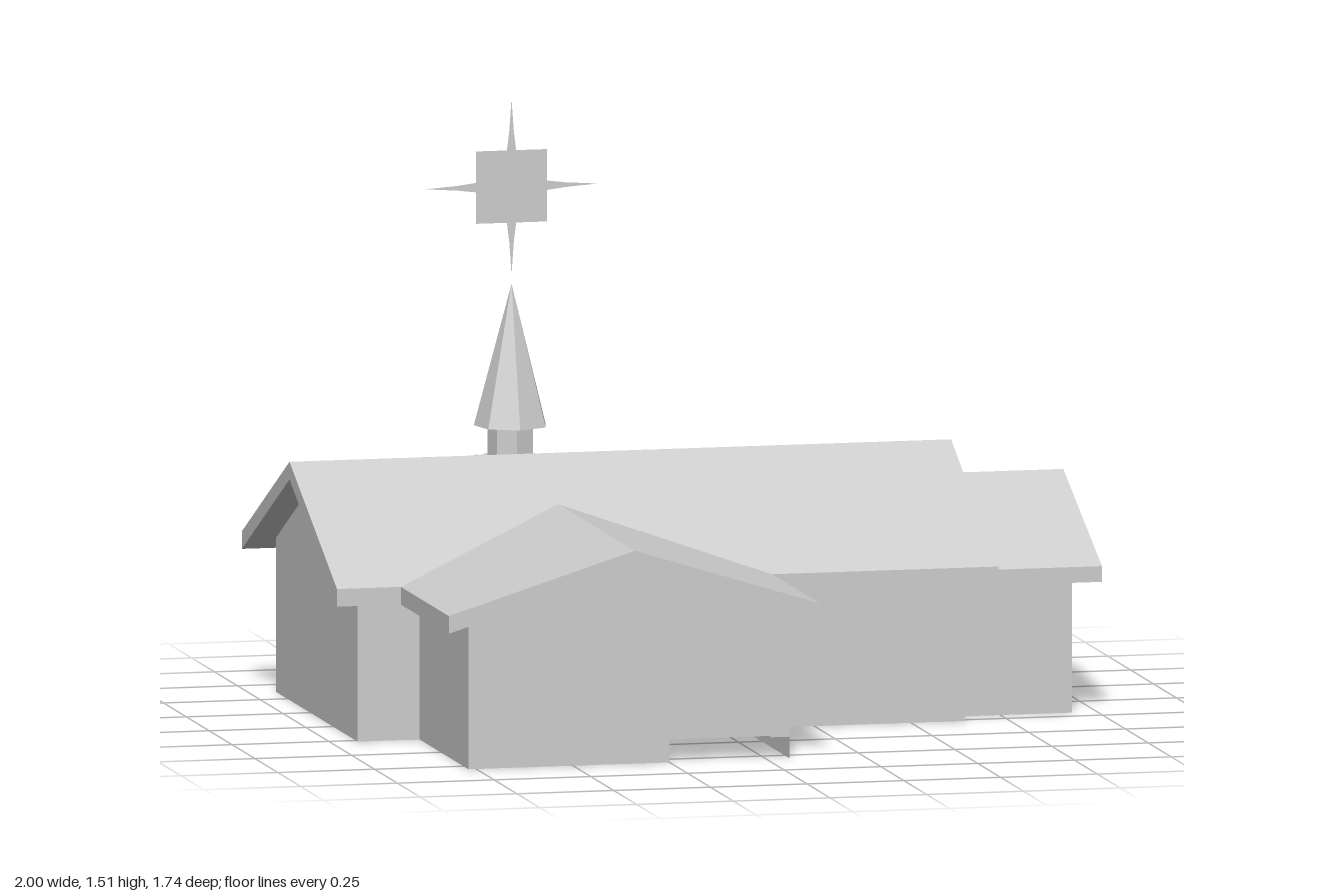
import * as THREE from 'three';

export function createModel() {
  const grey = new THREE.MeshStandardMaterial({ color: 0xcccccc, side: THREE.DoubleSide, flatShading: true });
  grey.name = 'plain grey';
  const model = new THREE.Group();
  model.name = 'chapel';

  const add = (parent, name, geo, x = 0, y = 0, z = 0) => {
    const m = new THREE.Mesh(geo, grey);
    m.name = name;
    m.position.set(x, y, z);
    parent.add(m);
    return m;
  };
  const polygon = (pts) => new THREE.Shape(pts.map(([x, y]) => new THREE.Vector2(x, y)));
  const group = (name, turned) => {
    const g = new THREE.Group();
    g.name = name;
    if (turned) g.rotation.y = Math.PI / 2; // ridge then runs along x
    model.add(g);
    return g;
  };

  // Roof slab: a chevron with plumb-cut eaves, extruded along its ridge
  const roof = (parent, name, ridge, half, top, eave, thick, from, to) => {
    const shape = polygon([
      [ridge - half, eave - thick], [ridge, top - thick], [ridge + half, eave - thick],
      [ridge + half, eave], [ridge, top], [ridge - half, eave],
    ]);
    add(parent, name, new THREE.ExtrudeGeometry(shape, { depth: to - from, bevelEnabled: false }), 0, 0, from);
  };

  // Thin walls: two sides plus gable ends; each end may have its own foot outline
  const walls = (parent, a, b, ridge, top, slope, from, to, ends) => {
    const height = (x) => top - Math.abs(x - ridge) * slope;
    for (const x of [a, b]) {
      const side = new THREE.PlaneGeometry(to - from, height(x));
      side.rotateY(x === a ? -Math.PI / 2 : Math.PI / 2);
      add(parent, 'sideWall', side, x, height(x) / 2, (from + to) / 2);
    }
    for (const { z, foot } of ends) {
      const shape = polygon([...(foot || [[a, 0], [b, 0]]), [b, height(b)], [ridge, top], [a, height(a)]]);
      const gable = new THREE.ShapeGeometry(shape);
      add(parent, 'gableWall', gable, 0, 0, z);
    }
  };

  // Main hall, ridge along x
  const hall = group('mainHall', true);
  roof(hall, 'mainRoof', 0.18, 0.52, 0.65, 0.4, 0.045, -1, 0.71);
  walls(hall, -0.27, 0.625, 0.18, 0.605, 0.48, -0.93, 0.64, [{ z: -0.93 }, { z: 0.64 }]);
  // open the hall towards the rear wing
  const rear = hall.children.find((m) => m.name === 'sideWall' && m.position.x > 0.6);
  hall.remove(rear);
  for (const [from, to] of [[-0.93, -0.77], [0.06, 0.64]]) {
    const piece = new THREE.PlaneGeometry(to - from, 0.39);
    piece.rotateY(Math.PI / 2);
    add(hall, 'rearWall', piece, 0.625, 0.195, (from + to) / 2);
  }

  // Lower end wing
  const endWing = group('endWing', true);
  roof(endWing, 'endRoof', 0.18, 0.425, 0.565, 0.378, 0.04, 0.64, 1);
  walls(endWing, -0.19, 0.54, 0.18, 0.525, 0.44, 0.64, 0.935, [{ z: 0.935 }]);

  // Cross wings, ridge along z, with the doorway cut in the front gable
  const cross = group('crossWings', false);
  roof(cross, 'crossRoof', -0.355, 0.48, 0.55, 0.4, 0.045, -0.87, 0.865);
  const doorway = [[-0.77, 0], [-0.25, 0], [-0.25, 0.28], [0.01, 0.28], [0.01, 0.055], [0.06, 0.055]];
  walls(cross, -0.77, 0.06, -0.355, 0.505, 0.3125, 0.27, 0.805, [{ z: 0.805, foot: doorway }]);
  walls(cross, -0.77, 0.06, -0.355, 0.505, 0.3125, -0.8, -0.625, [{ z: -0.8 }]);

  // Recessed door with its jamb and head
  add(cross, 'door', new THREE.PlaneGeometry(0.31, 0.225), -0.095, 0.1675, 0.78);
  add(cross, 'doorJamb', new THREE.PlaneGeometry(0.025, 0.28).rotateY(Math.PI / 2), -0.25, 0.14, 0.7925);
  add(cross, 'doorHead', new THREE.PlaneGeometry(0.31, 0.025).rotateX(Math.PI / 2), -0.095, 0.28, 0.7925);

  // Seven-sided steeple
  const steeple = group('steeple', false);
  steeple.position.set(-0.357, 0, -0.472);
  add(steeple, 'steepleBase', new THREE.CylinderGeometry(0.094, 0.094, 0.12, 7), 0, 0.54, 0);
  add(steeple, 'steepleNeck', new THREE.CylinderGeometry(0.06, 0.06, 0.08, 7), 0, 0.64, 0);
  add(steeple, 'spire', new THREE.ConeGeometry(0.095, 0.36, 7), 0, 0.86, 0);

  // Flat star: a square plate with four needle points
  const outline = [];
  const s = 0.092, w = 0.012;
  for (let i = 0; i < 4; i++) {
    const c = Math.round(Math.cos(i * Math.PI / 2)), n = Math.round(Math.sin(i * Math.PI / 2));
    const tip = 0.223;
    for (const [u, v] of [[s, -s], [s, -w], [0.14, -0.006], [tip, 0], [0.14, 0.006], [s, w]]) {
      outline.push([u * c - v * n, u * n + v * c]);
    }
  }
  add(steeple, 'star', new THREE.ShapeGeometry(polygon(outline)), 0, 1.287, 0);

  return model;
}
